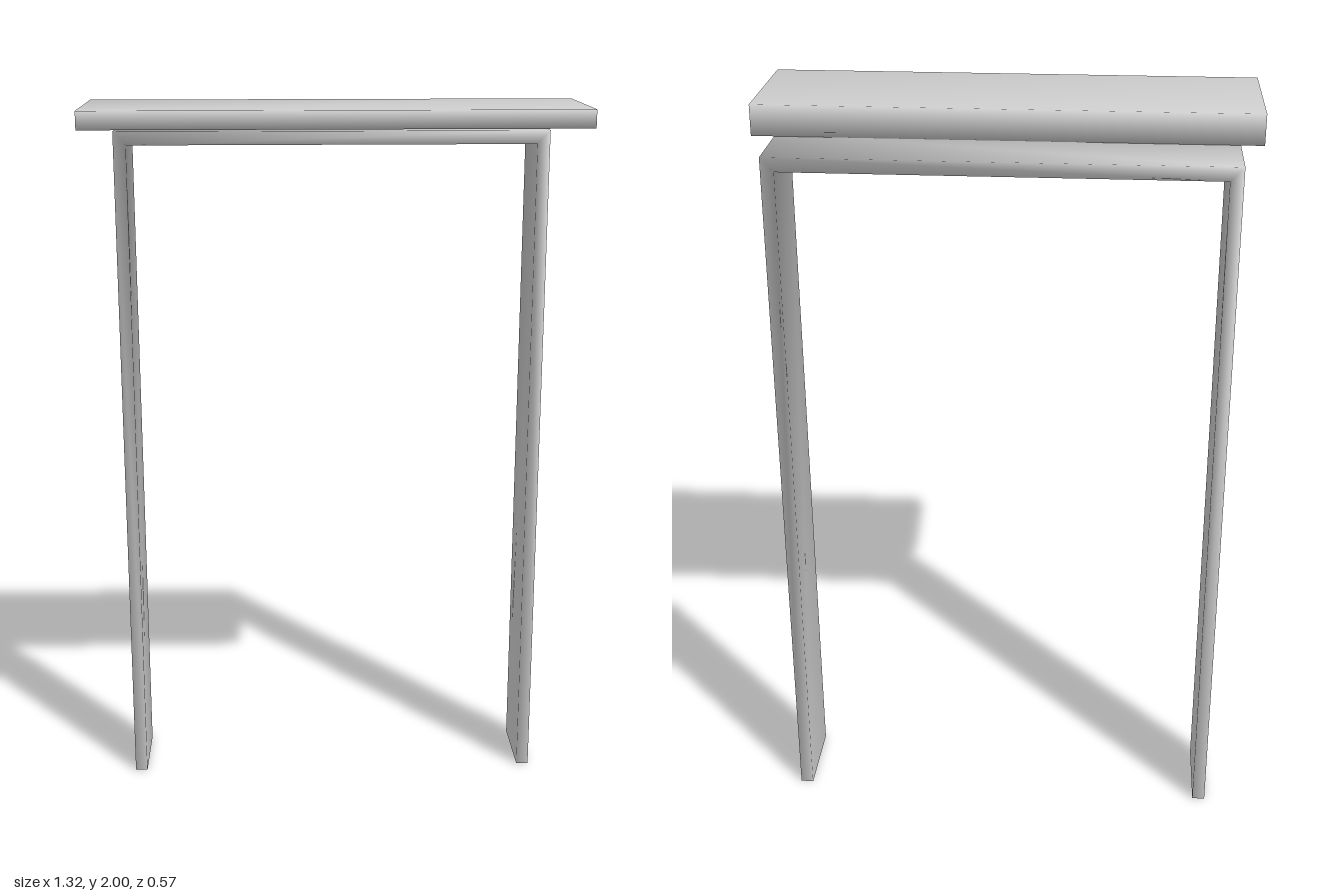
import * as THREE from 'three';
import { mergeVertices } from 'three/addons/utils/BufferGeometryUtils.js';

const material = new THREE.MeshStandardMaterial({ color: 0xcccccc });

// Extrude an outline by depth, centred, with normals shared across the edges
function smoothExtrusion(points, depth) {
  const shape = new THREE.Shape(points.map(([x, y]) => new THREE.Vector2(x, y)));
  const geometry = new THREE.ExtrudeGeometry(shape, { depth, bevelEnabled: false });
  geometry.translate(0, 0, -depth / 2);
  geometry.deleteAttribute('normal');
  geometry.deleteAttribute('uv');
  const merged = mergeVertices(geometry);
  merged.computeVertexNormals();
  return merged;
}

export function createModel() {
  const group = new THREE.Group();

  // Door frame: two jambs and a lintel in one U-shaped piece
  const outer = 0.6, inner = 0.565, top = 1.917, soffit = 1.88;
  const frame = new THREE.Mesh(smoothExtrusion([
    [-outer, 0], [-inner, 0], [-inner, soffit], [inner, soffit],
    [inner, 0], [outer, 0], [outer, top], [-outer, top],
  ], 0.225), material);
  frame.name = 'doorFrame';
  frame.position.z = -0.1705;
  group.add(frame);

  // Canopy: flat top, underside rising to the front; outline is (-z, y)
  const canopy = new THREE.Mesh(smoothExtrusion([
    [-0.283, 1.952], [0.095, 1.918], [0.095, 2], [-0.283, 2],
  ], 1.32), material);
  canopy.name = 'canopy';
  canopy.rotation.y = Math.PI / 2;
  group.add(canopy);

  return group;
}
